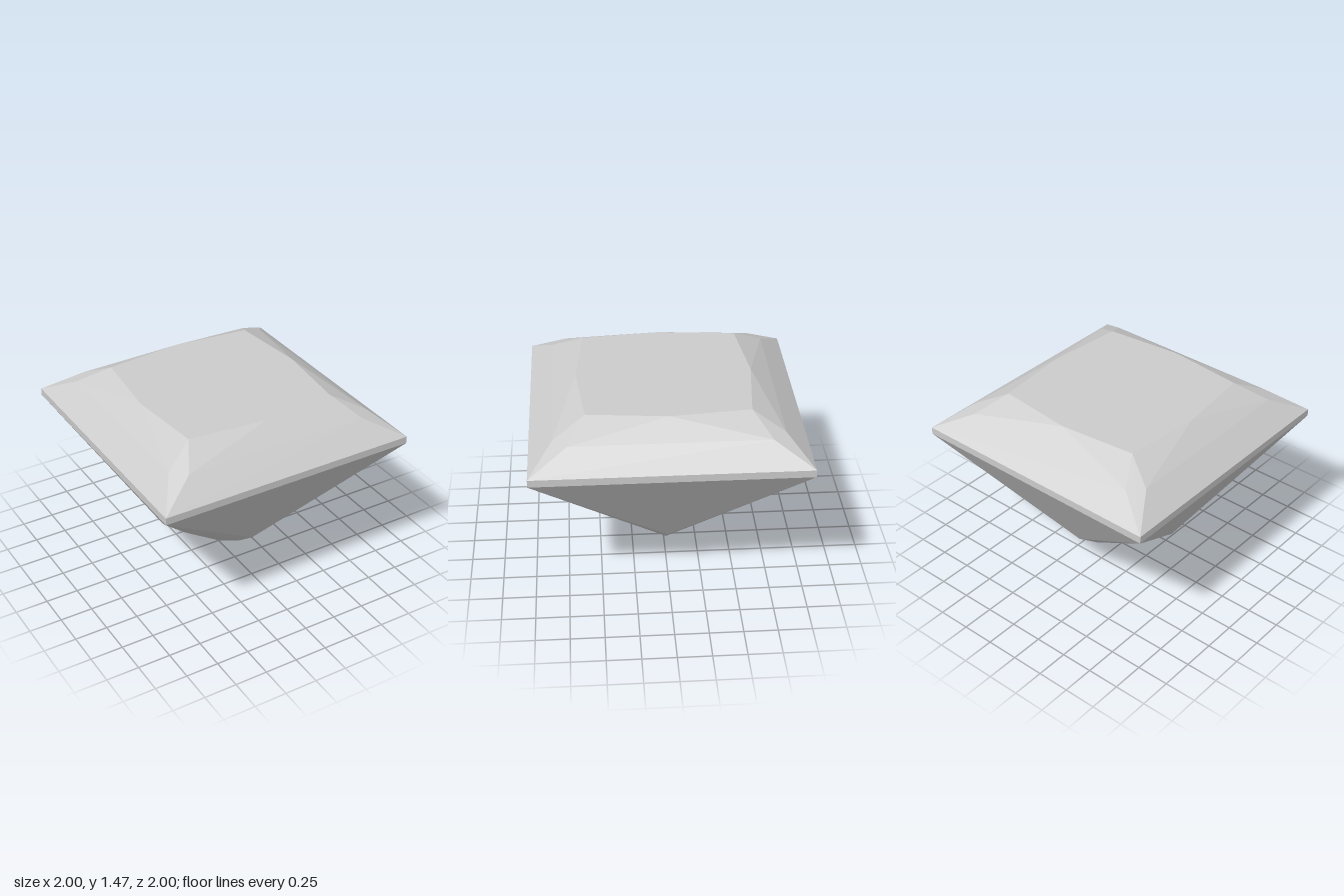
import * as THREE from 'three';

// Heights of the square-cut gem
const TABLE = 1.468, BREAK = 1.35, GIRDLE_TOP = 1.2, GIRDLE_BOTTOM = 1.145;

// Turns convex facets of the front side into a mesh repeated on all four sides
function facetMesh(name, facets, material) {
  const positions = [];
  const inside = new THREE.Vector3(0, 0.9, 0);
  const up = new THREE.Vector3(0, 1, 0);
  for (let side = 0; side < 4; side++) {
    for (const facet of facets) {
      const p = facet.map((c) => new THREE.Vector3(...c).applyAxisAngle(up, side * Math.PI / 2));
      for (let i = 1; i < p.length - 1; i++) {
        const tri = [p[0], p[i], p[i + 1]];
        const normal = p[i].clone().sub(p[0]).cross(p[i + 1].clone().sub(p[0]));
        // Keep every facet facing outward
        if (normal.dot(p[0].clone().sub(inside)) < 0) tri.reverse();
        for (const v of tri) positions.push(v.x, v.y, v.z);
      }
    }
  }
  const geometry = new THREE.BufferGeometry();
  geometry.setAttribute('position', new THREE.Float32BufferAttribute(positions, 3));
  geometry.computeVertexNormals();
  const mesh = new THREE.Mesh(geometry, material);
  mesh.name = name;
  return mesh;
}

// A facet together with its mirror image across x
const mirrored = (facet) => [facet, facet.map(([x, y, z]) => [-x, y, z])];

export function createModel() {
  const stone = new THREE.MeshStandardMaterial({ color: 0xcccccc });
  stone.name = 'gemGrey';

  const tableCorner = [0.59, TABLE, 0.59], tableMid = [0, TABLE, 0.65];
  const breakPoint = [0.72, BREAK, 0.82], breakLeft = [-0.72, BREAK, 0.82];
  const girdleCorner = [1, GIRDLE_TOP, 1], girdleLeft = [-1, GIRDLE_TOP, 1];
  const lowCorner = [1, GIRDLE_BOTTOM, 1], lowLeft = [-1, GIRDLE_BOTTOM, 1];
  const keel = [[0, 0.35, 0.5], [0, 0.19, 0.3], [0, 0, 0]];

  const gem = new THREE.Group();
  gem.name = 'gem';

  // Flat top
  gem.add(facetMesh('table', mirrored([[0, TABLE, 0], tableMid, tableCorner]), stone));

  // Sloping facets between the table and the girdle
  gem.add(facetMesh('crown', [
    [girdleLeft, girdleCorner, breakPoint, breakLeft],
    [breakLeft, breakPoint, tableMid],
    ...mirrored([breakPoint, tableCorner, tableMid]),
    ...mirrored([girdleCorner, tableCorner, breakPoint]),
  ], stone));

  // Thin upright band
  gem.add(facetMesh('girdle', [[lowLeft, lowCorner, girdleCorner, girdleLeft]], stone));

  // Large lower triangles and the chevron facets fanning from each corner to the point
  gem.add(facetMesh('pavilion', [
    [lowLeft, keel[0], lowCorner],
    ...mirrored([lowCorner, keel[0], keel[1]]),
    ...mirrored([lowCorner, keel[1], keel[2]]),
  ], stone));

  return gem;
}
